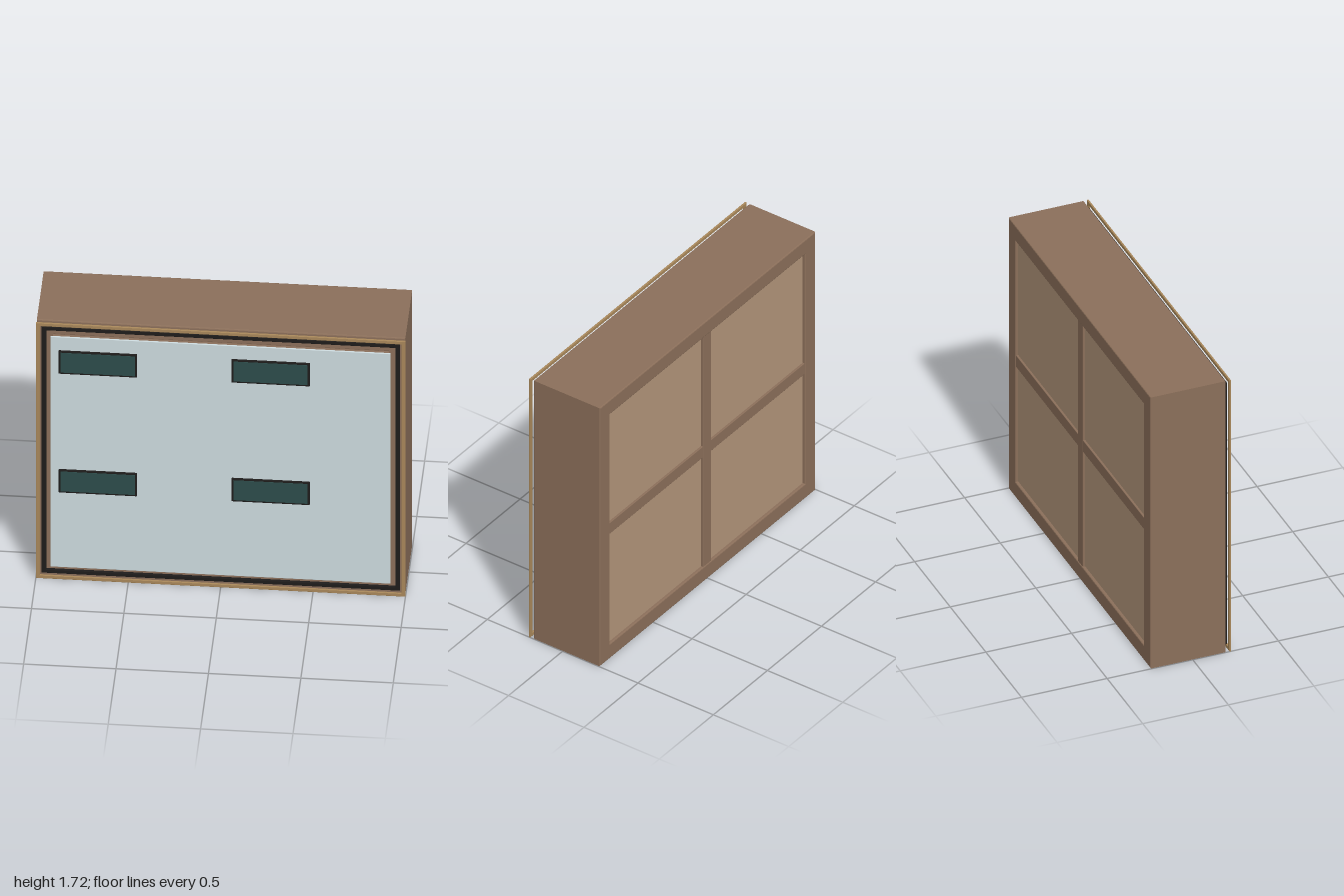
import * as THREE from 'three';
import { RoundedBoxGeometry } from 'three/addons/geometries/RoundedBoxGeometry.js';

const H = 1.72, CY = H / 2;
const mat = (color) => new THREE.MeshStandardMaterial({ color });
const wood = mat(0x8b6f5a), panelWood = mat(0xb2957a), brass = mat(0xa8875a);
const rubber = mat(0x1e1c1b), glass = mat(0xccdade), slate = mat(0x2d4c4a);

function rect(path, w, h) {
  path.moveTo(-w / 2, -h / 2);
  path.lineTo(w / 2, -h / 2);
  path.lineTo(w / 2, h / 2);
  path.lineTo(-w / 2, h / 2);
  path.closePath();
  return path;
}

// Rectangular ring between z0 and z1, with small bevelled edges
function ring(w, h, border, z0, z1, bevel) {
  const shape = rect(new THREE.Shape(), w - 2 * bevel, h - 2 * bevel);
  const inner = 2 * (border - bevel);
  shape.holes.push(rect(new THREE.Path(), w - inner, h - inner));
  const g = new THREE.ExtrudeGeometry(shape, {
    depth: z1 - z0 - 2 * bevel, bevelEnabled: true,
    bevelSize: bevel, bevelThickness: bevel, bevelSegments: 2,
  });
  return g.translate(0, CY, z0 + bevel);
}

// Rounded block placed by its centre and its z range
function block(w, h, x, y, z0, z1, r = 0.003) {
  return new RoundedBoxGeometry(w, h, z1 - z0, 2, r).translate(x, y, (z0 + z1) / 2);
}

export function createModel() {
  const group = new THREE.Group();
  const add = (name, geometry, material) => {
    const m = new THREE.Mesh(geometry, material);
    m.name = name;
    group.add(m);
  };

  // Cabinet walls and front board
  add('cabinetWalls', ring(1.994, H, 0.095, -0.245, 0.195, 0.006), wood);
  add('frontBoard', block(1.84, 1.56, 0, CY, 0.16, 0.194), wood);

  // Recessed back panels with crossing rails
  for (const sx of [-1, 1]) {
    for (const sy of [-1, 1]) {
      add('backPanel', block(0.88, 0.75, sx * 0.47, CY + sy * 0.402, -0.228, -0.2), panelWood);
    }
  }
  add('backUpright', block(0.074, 1.54, 0, CY, -0.241, -0.19), wood);
  add('backCrossRail', block(1.81, 0.074, 0, CY, -0.24, -0.19), wood);

  // Door seal, outer trim and glazed front
  add('doorSeal', ring(1.938, 1.658, 0.024, 0.199, 0.215, 0.003), rubber);
  add('outerTrim', ring(2, H, 0.022, 0.214, 0.225, 0.003), brass);
  add('glassPane', block(1.84, 1.55, 0, CY + 0.005, 0.225, 0.235), glass);
  add('glassBacking', block(1.82, 1.53, 0, CY + 0.005, 0.196, 0.226), wood);

  // Framed plates on the glass, and small pegs behind it
  for (const x of [-0.663, 0.272]) {
    for (const y of [0.675, 1.475]) {
      add('plateBorder', block(0.424, 0.154, x, y, 0.232, 0.244, 0.004), rubber);
      add('plate', block(0.402, 0.134, x, y, 0.233, 0.245, 0.001), slate);
      add('peg', block(0.04, 0.012, x + 0.385, y - 0.445, 0.185, 0.202, 0.002), rubber);
    }
  }
  return group;
}
